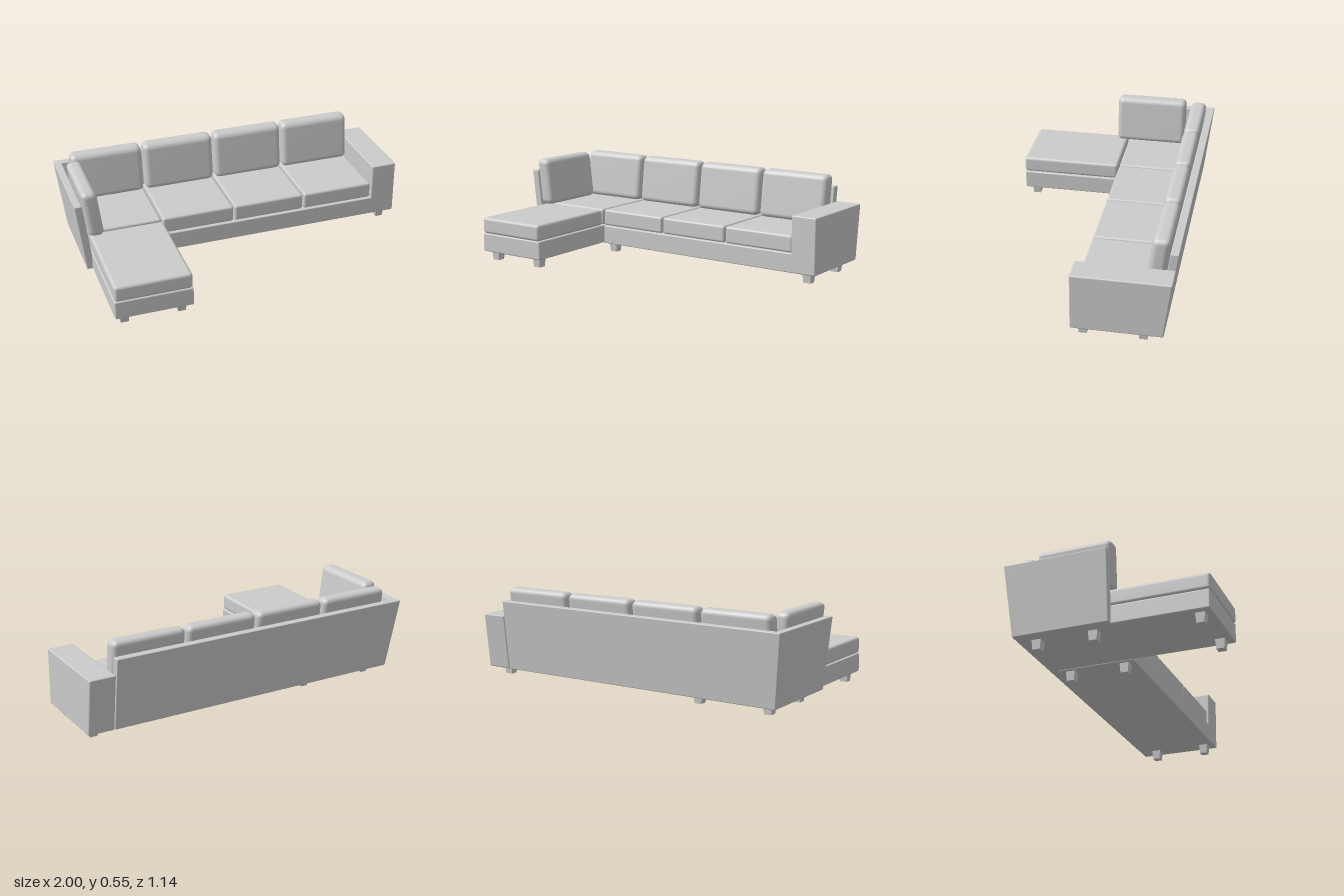
import * as THREE from 'three';
import { RoundedBoxGeometry } from 'three/addons/geometries/RoundedBoxGeometry.js';
import { mergeVertices } from 'three/addons/utils/BufferGeometryUtils.js';

const LEAN = 0.12; // outward slope of the back and side panels
const FLOOR = 0.055; // underside of the frame
const SEAT = 0.165; // top of the frame
const CUSHION = 0.263; // top of the seat cushions

export function createModel() {
  const model = new THREE.Group();
  const material = new THREE.MeshStandardMaterial({ color: 0xcccccc });

  // Rounded block between two corners; warp(p) may move each vertex.
  function block(name, [x0, y0, z0], [x1, y1, z1], radius, warp) {
    let geo = new RoundedBoxGeometry(x1 - x0, y1 - y0, z1 - z0, 4, radius);
    geo.translate((x0 + x1) / 2, (y0 + y1) / 2, (z0 + z1) / 2);
    geo.deleteAttribute('normal');
    geo.deleteAttribute('uv');
    geo = mergeVertices(geo, 1e-5);
    if (warp) {
      const pos = geo.attributes.position;
      const p = new THREE.Vector3();
      for (let i = 0; i < pos.count; i++) {
        p.fromBufferAttribute(pos, i);
        warp(p);
        pos.setXYZ(i, p.x, p.y, p.z);
      }
    }
    geo.computeVertexNormals();
    const mesh = new THREE.Mesh(geo, material);
    mesh.name = name;
    model.add(mesh);
  }

  // Frame
  block('sofaBase', [-0.47, FLOOR, -0.51], [0.86, SEAT, -0.022], 0.006);
  block('chaiseBase', [-0.92, FLOOR, -0.51], [-0.476, SEAT, 0.57], 0.008);

  // Back panel leans backwards, its corner end follows the side panel
  block('backPanel', [-0.952, FLOOR, -0.521], [0.845, 0.47, -0.475], 0.005, (p) => {
    const shift = (p.y - FLOOR) * LEAN;
    p.z -= shift;
    if (p.x < -0.5) p.x -= shift * 0.96;
  });

  // Side panel leans outwards, its rear end follows the back panel
  block('sidePanel', [-0.952, FLOOR, -0.521], [-0.908, 0.47, 0.03], 0.005, (p) => {
    const shift = (p.y - FLOOR) * LEAN;
    p.x -= shift * 0.96;
    if (p.z < -0.3) p.z -= shift;
  });

  // Armrest with a sloped rear face
  block('armrest', [0.848, FLOOR, -0.521], [1, 0.38, -0.022], 0.008, (p) => {
    if (p.z < -0.3) p.z -= (p.y - FLOOR) * LEAN;
  });

  // Seat and back cushions, one pair per place
  const places = [[-0.918, -0.486], [-0.476, -0.042], [-0.034, 0.4], [0.408, 0.845]];
  places.forEach(([x0, x1], i) => {
    block('seatCushion' + (i + 1), [x0, SEAT, -0.5], [x1, CUSHION, -0.034], 0.014);
    block('backCushion' + (i + 1), [x0 + 0.002, CUSHION, -0.493], [x1 - 0.002, 0.545, -0.397], 0.032, (p) => {
      p.z -= (p.y - CUSHION) * LEAN;
    });
  });
  block('chaiseCushion', [-0.918, SEAT, -0.022], [-0.48, 0.261, 0.574], 0.018);
  block('sideCushion', [-0.925, CUSHION, -0.396], [-0.835, 0.545, 0.04], 0.032, (p) => {
    p.x -= (p.y - CUSHION) * LEAN;
  });

  // Tapered square legs
  const legGeo = new THREE.CylinderGeometry(0.0385, 0.031, 0.06, 4).toNonIndexed();
  legGeo.rotateY(Math.PI / 4);
  legGeo.computeVertexNormals();
  const legs = [
    [-0.86, 0.505], [-0.535, 0.505], [-0.86, -0.085], [-0.86, -0.41],
    [-0.427, -0.085], [-0.427, -0.41], [0.93, -0.085], [0.93, -0.41],
  ];
  legs.forEach(([x, z], i) => {
    const leg = new THREE.Mesh(legGeo, material);
    leg.name = 'leg' + (i + 1);
    leg.position.set(x, 0.03, z);
    model.add(leg);
  });

  return model;
}
